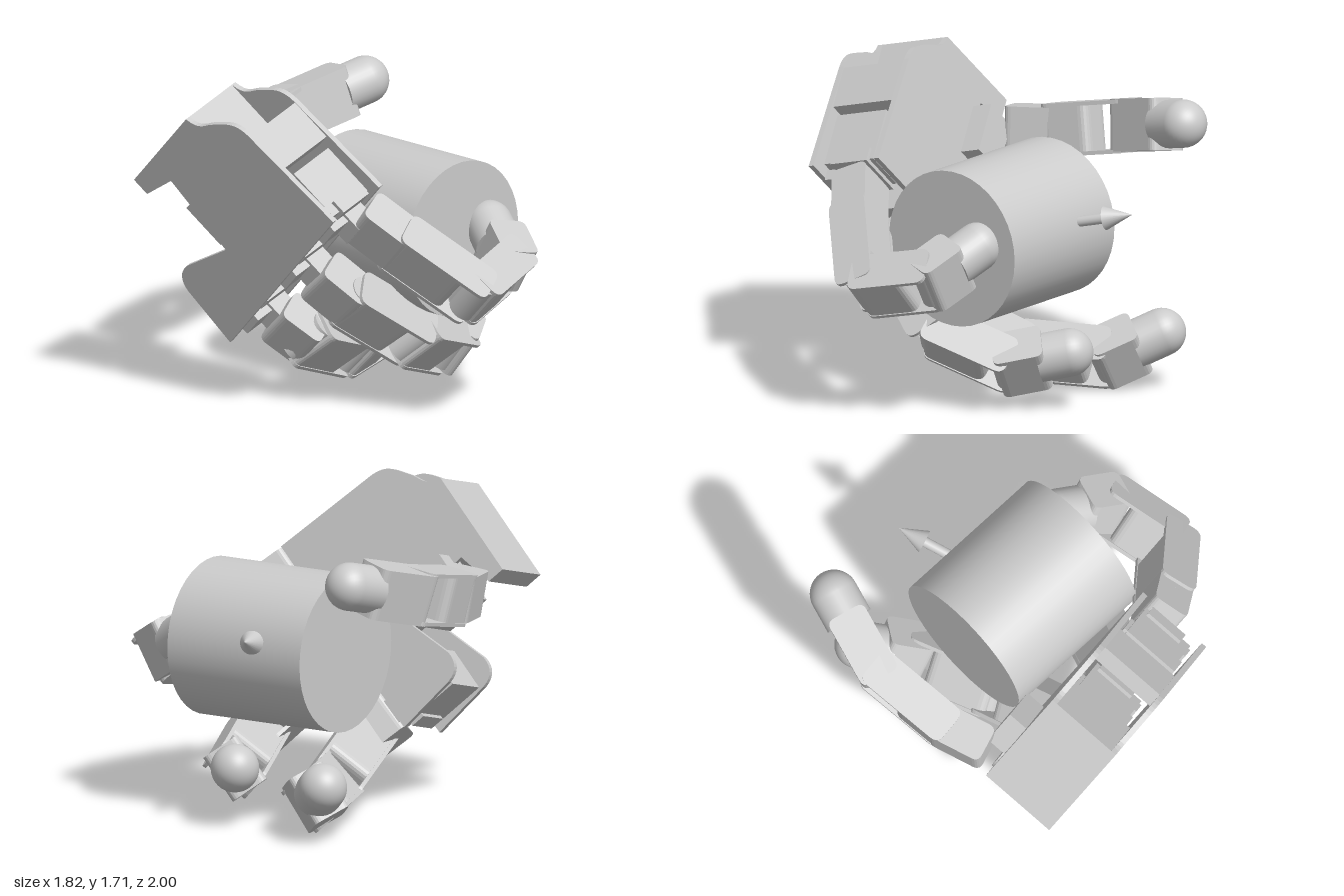
import * as THREE from 'three';

const V = (x, y, z) => new THREE.Vector3(x, y, z);
const mat = new THREE.MeshStandardMaterial({ color: 0xcccccc });

function add(parent, geo, name, x = 0, y = 0, z = 0) {
  const m = new THREE.Mesh(geo, mat);
  m.name = name;
  m.position.set(x, y, z);
  parent.add(m);
  return m;
}

function box(parent, name, w, h, d, x, y, z) {
  return add(parent, new THREE.BoxGeometry(w, h, d), name, x, y, z);
}

// Group at a point whose y axis runs toward the next joint and x axis follows the hinge
function jointFrame(parent, name, from, to, hinge) {
  const y = to.clone().sub(from).normalize();
  const x = hinge.clone().addScaledVector(y, -hinge.dot(y)).normalize();
  const g = new THREE.Group();
  g.name = name;
  g.quaternion.setFromRotationMatrix(new THREE.Matrix4().makeBasis(x, y, x.clone().cross(y)));
  g.position.copy(from);
  parent.add(g);
  return g;
}

// Block with rounded ends, side profile in y and z, extruded along the hinge
function linkGeometry(y0, y1, thick, width, r) {
  const h = thick / 2, s = new THREE.Shape();
  s.moveTo(y0 + r, -h);
  s.lineTo(y1 - r, -h);
  s.quadraticCurveTo(y1, -h, y1, -h + r);
  s.lineTo(y1, h - r);
  s.quadraticCurveTo(y1, h, y1 - r, h);
  s.lineTo(y0 + r, h);
  s.quadraticCurveTo(y0, h, y0, h - r);
  s.lineTo(y0, -h + r);
  s.quadraticCurveTo(y0, -h, y0 + r, -h);
  const g = new THREE.ExtrudeGeometry(s, { depth: width, bevelEnabled: false, curveSegments: 5 });
  g.translate(0, 0, -width / 2);
  // (length, thickness, width) becomes (width, length, thickness)
  return g.applyMatrix4(new THREE.Matrix4().makeBasis(V(0, 1, 0), V(0, 0, 1), V(1, 0, 0)));
}

// Chain of links through the joints, ending in a round tip
function finger(parent, name, joints, hinge, gap) {
  const g = new THREE.Group();
  g.name = name;
  parent.add(g);
  const last = joints.length - 2;
  joints.slice(0, -1).forEach((p, i) => {
    const q = joints[i + 1], len = p.distanceTo(q);
    const f = jointFrame(g, i === 0 ? 'knuckle' : i === last ? 'fingertip' : 'link', p, q, hinge);
    if (i === 0) {
      add(f, linkGeometry(-0.06, len + 0.05, 0.2, 0.24, 0.04), 'knuckleBlock');
    } else if (i < last) {
      add(f, linkGeometry(-0.03, len - gap, 0.2, 0.25, 0.05), 'linkCore');
      // Cheeks reach over the next hinge
      for (const s of [-1, 1])
        add(f, linkGeometry(-0.03, len + 0.04, 0.21, 0.02, 0.05), 'linkCheek', s * 0.128);
    } else {
      const boxEnd = len - 0.12;
      add(f, linkGeometry(-0.05, boxEnd, 0.21, 0.27, 0.04), 'tipBlock');
      add(f, new THREE.CylinderGeometry(0.125, 0.125, len - boxEnd + 0.04, 32),
        'tipSleeve', 0, (len + boxEnd - 0.04) / 2);
      add(f, new THREE.SphereGeometry(0.125, 32, 12, 0, Math.PI * 2, 0, Math.PI / 2), 'tipDome', 0, len);
    }
    // Hinge pin
    if (i > 0) {
      const pin = add(f, new THREE.CylinderGeometry(0.075, 0.075, 0.235, 20), 'hinge');
      pin.rotation.z = Math.PI / 2;
    }
  });
  return g;
}

// Plate with flared knuckle end and a notch for the thumb
function palmPlate() {
  const s = new THREE.Shape();
  s.moveTo(0, 0);
  s.bezierCurveTo(0.02, 0.1, 0.08, 0.09, 0.13, 0.13);
  s.bezierCurveTo(0.2, 0.18, 0.25, 0.2, 0.26, 0.3);
  s.lineTo(0.29, 0.93);
  s.lineTo(-0.9, 0.93);
  s.lineTo(-0.87, 0.59);
  s.quadraticCurveTo(-0.85, 0.49, -0.75, 0.5);
  s.lineTo(-0.45, 0.6);
  s.lineTo(-0.4, 0.15);
  s.lineTo(-0.6, 0.1);
  s.lineTo(-0.6, 0);
  s.closePath();
  return new THREE.ExtrudeGeometry(s, { depth: 0.03, bevelEnabled: false, curveSegments: 8 });
}

export function createModel() {
  const model = new THREE.Group();
  model.name = 'gripperHand';

  // Palm: x across, y from wrist to knuckles, z out of the palm face
  const across = V(-0.085, 0.70, 0.71).normalize();
  const along = V(0.258, -0.673, 0.694);
  const palm = jointFrame(model, 'palm', V(0, 0, 0), along, across);
  palm.position.set(-0.5, 1.685, -0.437);
  add(palm, palmPlate(), 'frontPlate', 0, 0, -0.03);
  add(palm, palmPlate(), 'backPlate', 0, 0, -0.43);
  box(palm, 'wristBar', 0.6, 0.1, 0.37, -0.3, 0.05, -0.215);
  box(palm, 'wristBox', 0.38, 0.2, 0.37, -0.19, 0.2, -0.215);
  box(palm, 'sideBeam', 0.09, 0.24, 0.37, 0.215, 0.43, -0.215);
  box(palm, 'thumbMotor', 0.2, 0.26, 0.3, -0.44, 0.42, -0.2);
  box(palm, 'thumbSwivel', 0.2, 0.28, 0.2, -0.45, 0.34, 0.01);

  // Stepped motors behind each knuckle
  for (const t of [0.13, -0.31, -0.75]) {
    box(palm, 'motor', 0.24, 0.3, 0.3, t, 0.75, -0.215);
    box(palm, 'motorCap', 0.17, 0.12, 0.34, t, 0.72, -0.215);
    box(palm, 'motorMount', 0.28, 0.08, 0.22, t, 0.88, -0.2);
    box(palm, 'motorFoot', 0.13, 0.08, 0.12, t, 0.92, -0.32);
    box(palm, 'motorShaft', 0.14, 0.16, 0.14, t, 0.95, -0.18);
  }

  // Three fingers curled round the cylinder
  finger(model, 'upperFinger', [V(-0.39, 1.09, 0.43), V(-0.30, 0.98, 0.55), V(-0.04, 0.705, 0.83),
    V(0.31, 0.78, 0.74), V(0.42, 0.925, 0.485)], across, 0.1);
  finger(model, 'middleFinger', [V(-0.38, 0.71, 0.11), V(-0.30, 0.61, 0.2), V(0.02, 0.37, 0.34),
    V(0.40, 0.235, 0.22), V(0.665, 0.305, 0.035)], across, 0.1);
  finger(model, 'lowerFinger', [V(-0.35, 0.42, -0.21), V(-0.28, 0.34, -0.13), V(0.17, 0.175, -0.23),
    V(0.57, 0.17, -0.39), V(0.775, 0.295, -0.595)], across, 0.1);

  // Thumb
  finger(model, 'thumb', [V(-0.27, 1.17, -0.75), V(-0.09, 1.18, -0.81), V(0.35, 1.265, -0.87),
    V(0.78, 1.37, -0.765)], V(0, 1, -0.17), 0.2);

  // Held cylinder
  const can = add(model, new THREE.CylinderGeometry(0.41, 0.41, 0.83, 40), 'heldCylinder', 0.24, 0.88, 0.055);
  can.rotation.x = Math.PI / 2;

  // Arrow leaving the middle of the cylinder
  const start = V(0.24, 0.88, 0.055), tip = V(0.9, 1.03, -0.19), len = start.distanceTo(tip);
  const arrow = jointFrame(model, 'arrow', start, tip, V(0, 0, 1));
  add(arrow, new THREE.CylinderGeometry(0.027, 0.027, len - 0.14, 20), 'arrowShaft', 0, (len - 0.14) / 2);
  add(arrow, new THREE.ConeGeometry(0.062, 0.15, 24), 'arrowHead', 0, len - 0.075);

  return model;
}
